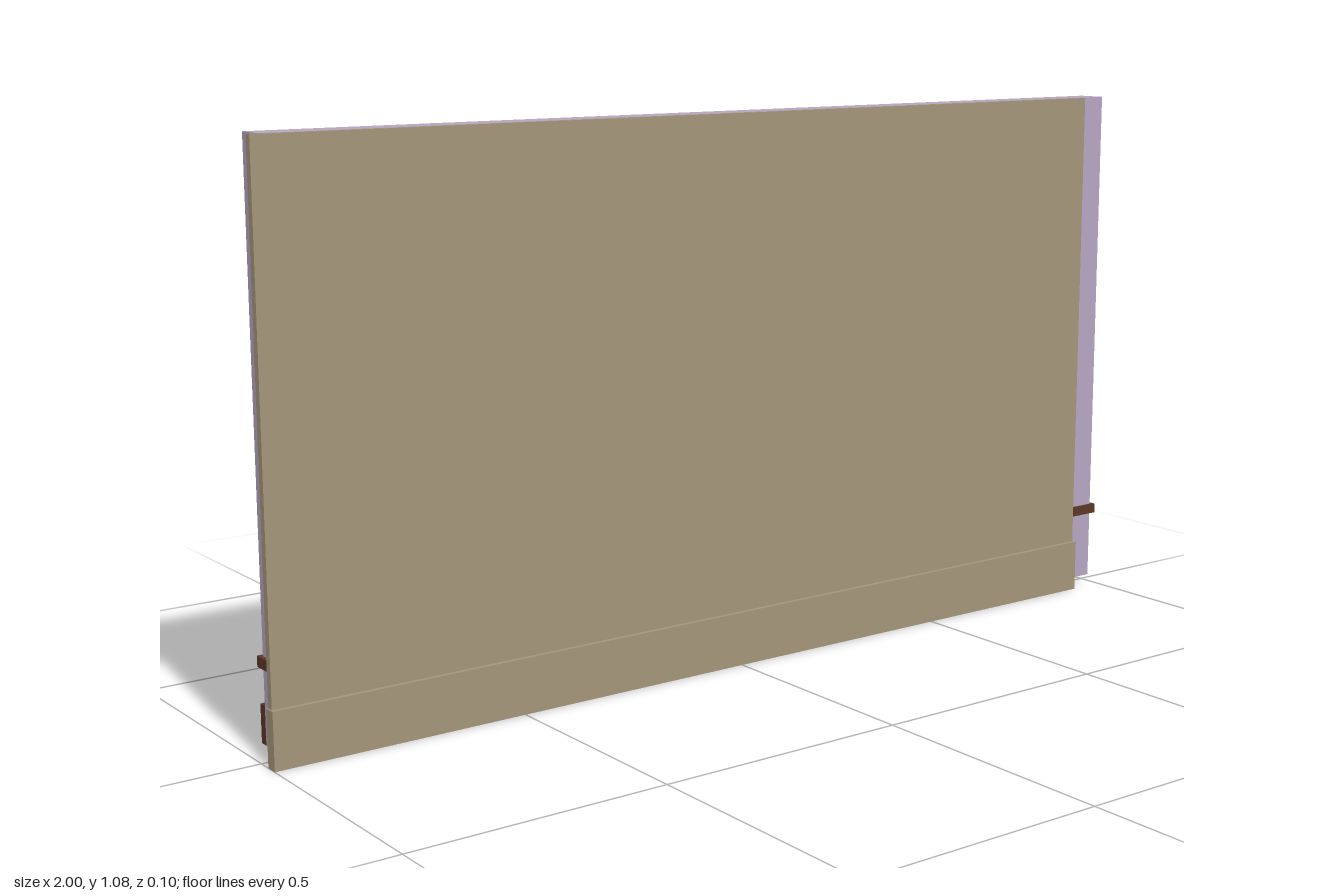
import * as THREE from 'three';

export function createModel() {
  const group = new THREE.Group();
  const paint = (name, color) => {
    const m = new THREE.MeshStandardMaterial({ color });
    m.name = name;
    return m;
  };
  const lilac = paint('lilac plaster', 0xb5a5c1);
  const tan = paint('tan cladding', 0xa4957a);
  const brown = paint('brown wood', 0x5c3728);

  // Box given by its lower and upper corners
  const slab = (name, material, [x0, y0, z0], [x1, y1, z1]) => {
    const mesh = new THREE.Mesh(new THREE.BoxGeometry(x1 - x0, y1 - y0, z1 - z0), material);
    mesh.position.set((x0 + x1) / 2, (y0 + y1) / 2, (z0 + z1) / 2);
    mesh.name = name;
    group.add(mesh);
  };

  // Wall core and its front cladding, offset sideways
  slab('wallCore', lilac, [-0.975, 0.018, -0.032], [0.99, 1.08, 0.029]);
  slab('frontCladding', tan, [-0.997, 0.018, 0.029], [0.924, 1.08, 0.043]);
  slab('frontBaseBoard', tan, [-1, 0, 0.027], [0.926, 0.107, 0.052]);

  // Back skirting
  slab('backSkirting', brown, [-0.975, 0.018, -0.05], [0.99, 0.09, -0.032]);

  // Thin rail around the back and both ends, with short front returns
  const [y0, y1] = [0.16, 0.18];
  slab('railBack', brown, [-0.982, y0, -0.041], [1, y1, -0.032]);
  slab('railLeftEnd', brown, [0.99, y0, -0.032], [1, y1, 0.035]);
  slab('railRightEnd', brown, [-0.982, y0, -0.032], [-0.975, y1, 0.029]);
  slab('railFrontReturn', brown, [0.924, y0, 0.029], [0.99, y1, 0.035]);

  return group;
}
